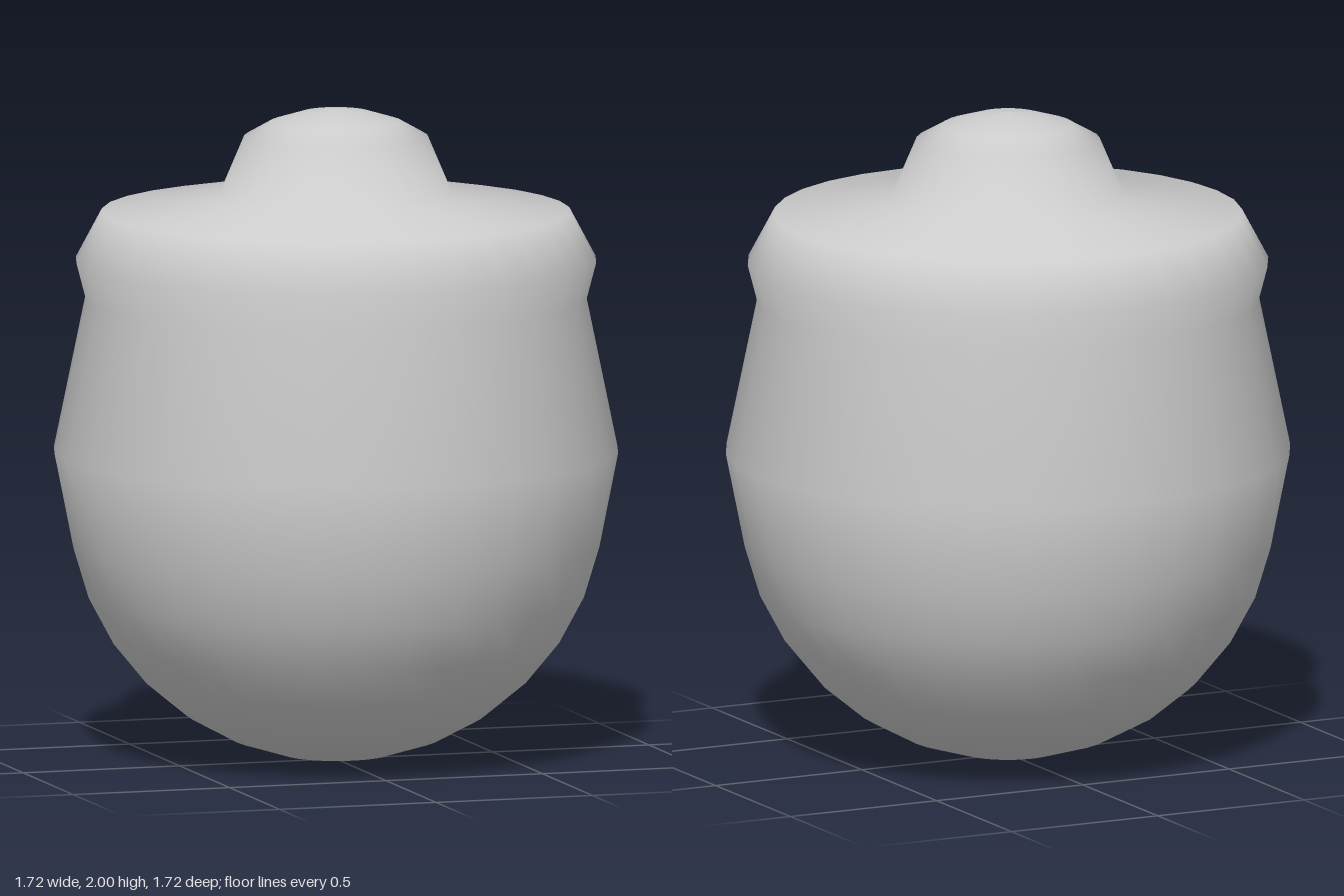
import * as THREE from 'three';

export function createModel() {
  const group = new THREE.Group();
  group.name = 'liddedJar';
  const material = new THREE.MeshStandardMaterial({ color: 0xcccccc });

  const profile = [];
  // rounded bowl: lower part of a sphere
  const bowlRadius = 0.82;
  for (let i = 0; i < 8; i++) {
    const a = (i * Math.PI) / 16;
    profile.push(new THREE.Vector2(bowlRadius * Math.sin(a), bowlRadius * (1 - Math.cos(a))));
  }
  const upper = [
    [0.862, 0.95], // belly
    [0.765, 1.42], // neck groove
    [0.795, 1.535], // collar
    [0.715, 1.685], // lid rim
    [0.35, 1.75], // knob base
    [0.28, 1.915], // knob shoulder
    [0.2, 1.96],
    [0.1, 1.99],
    [0, 2], // knob top
  ];
  upper.forEach(([r, y]) => profile.push(new THREE.Vector2(r, y)));

  // one continuous smooth surface of revolution
  const jar = new THREE.Mesh(new THREE.LatheGeometry(profile, 32), material);
  jar.name = 'jarWithLid';
  group.add(jar);
  return group;
}
